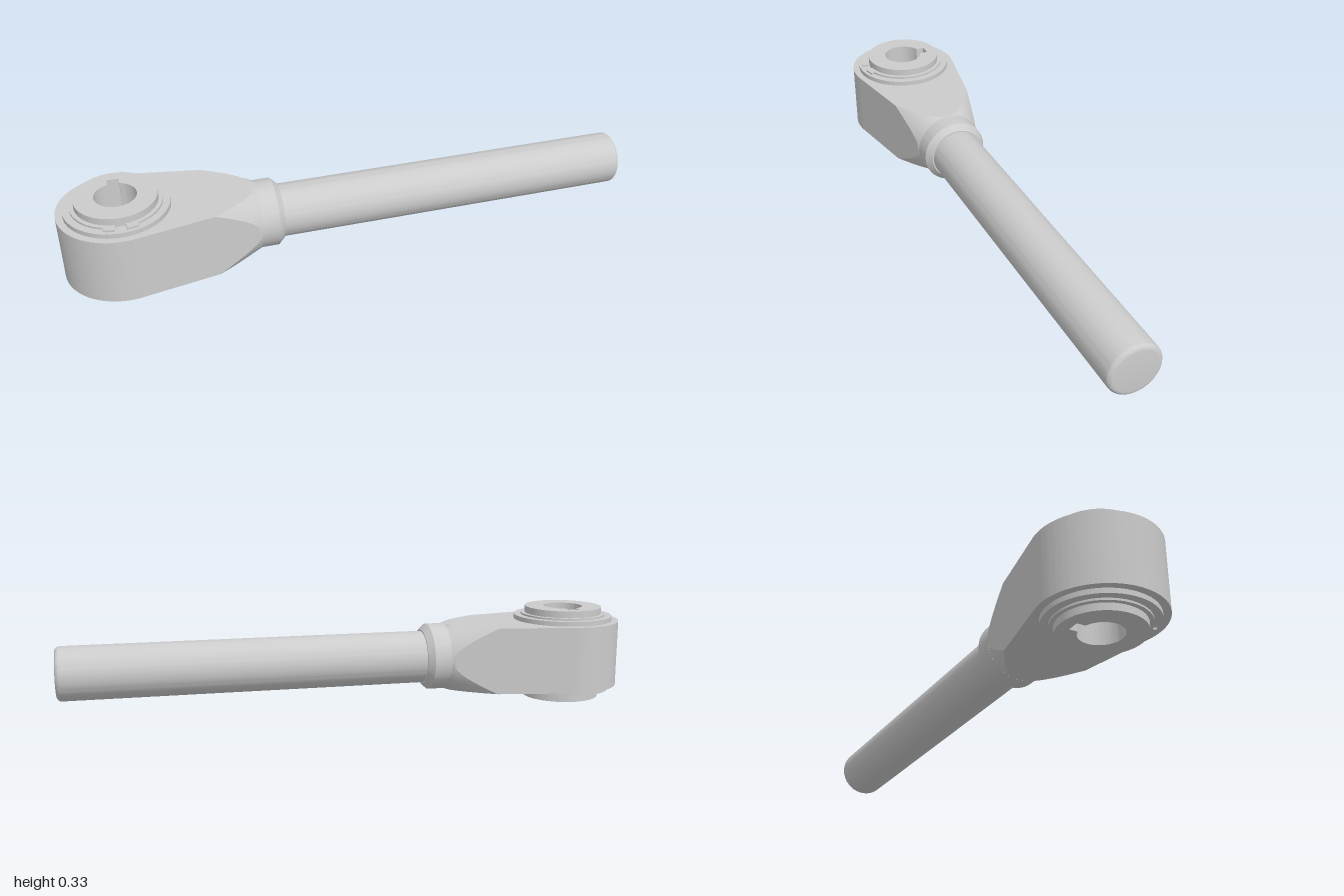
import * as THREE from 'three';
import { toCreasedNormals } from 'three/addons/utils/BufferGeometryUtils.js';

const MID = 0.165;        // height of the rod axis
const EYE_X = -0.8;       // centre of the eye
const EYE_R = 0.2;
const HALF_H = 0.1175;    // half thickness of the eye
const CUT_X = -0.5;       // where the cone starts trimming the neck
const NECK_X = -0.34;
const NECK_R = 0.117;
const BETA = 0.185;       // taper angle of the neck sides

const material = new THREE.MeshStandardMaterial({ color: 0xcccccc });
const halfWidth = (x) => (EYE_R - (x - EYE_X) * Math.sin(BETA)) / Math.cos(BETA);

function addMesh(parent, name, geometry, crease = 0.3) {
  const mesh = new THREE.Mesh(toCreasedNormals(geometry, crease), material);
  mesh.name = name;
  parent.add(mesh);
  return mesh;
}

// Extrudes a plan shape (drawn as x, -z) upwards from y0 to y1
function extrudeUp(shape, y0, y1) {
  const g = new THREE.ExtrudeGeometry(shape, { depth: y1 - y0, bevelEnabled: false, curveSegments: 48 });
  return g.rotateX(-Math.PI / 2).translate(0, y0, 0);
}

function circlePath(r) {
  return new THREE.Path().absarc(0, 0, r, 0, Math.PI * 2, true);
}

// Turns a profile of [x, radius] points around the rod axis
function turned(points) {
  const g = new THREE.LatheGeometry(points.map(([x, r]) => new THREE.Vector2(r, x)), 64);
  return g.rotateZ(-Math.PI / 2).translate(0, MID, 0);
}

// Neck: tapering rectangle trimmed by a cone, lofted in cross-sections
function neckGeometry() {
  const steps = 16, arc = 10;
  const r0 = Math.hypot(halfWidth(CUT_X), HALF_H);
  const positions = [], index = [];
  let count = 0;
  for (let i = 0; i <= steps; i++) {
    const t = i / steps;
    const x = THREE.MathUtils.lerp(CUT_X, NECK_X, t);
    const r = THREE.MathUtils.lerp(r0, NECK_R, t);
    const a = Math.acos(Math.min(1, halfWidth(x) / r));
    const b = Math.max(a, Math.asin(Math.min(1, HALF_H / r)));
    const loop = [];
    for (let q = 0; q < 4; q++) {
      for (let k = 0; k <= arc; k++) {
        const s = THREE.MathUtils.lerp(a, b, k / arc);
        // odd quadrants run backwards so the loop keeps turning one way
        const angle = q % 2 ? (q + 1) * Math.PI / 2 - THREE.MathUtils.lerp(b, a, k / arc) : q * Math.PI / 2 + s;
        loop.push([r * Math.cos(angle), r * Math.sin(angle)]);
      }
    }
    count = loop.length;
    loop.forEach(([z, y]) => positions.push(x, MID + y, z));
  }
  for (let i = 0; i < steps; i++) {
    for (let j = 0; j < count; j++) {
      const n = (j + 1) % count;
      const a = i * count + j, b = a + count, c = i * count + n, d = c + count;
      index.push(a, b, c, b, d, c);
    }
  }
  const g = new THREE.BufferGeometry();
  g.setAttribute('position', new THREE.Float32BufferAttribute(positions, 3));
  g.setIndex(index);
  return g;
}

export function createModel() {
  const model = new THREE.Group();
  model.name = 'rodEnd';

  // Eye housing with tangent sides
  const tx = EYE_R * Math.sin(BETA), cutX = CUT_X - EYE_X, w = halfWidth(CUT_X);
  const eye = new THREE.Shape();
  eye.moveTo(cutX, -w);
  eye.lineTo(cutX, w);
  eye.lineTo(tx, EYE_R * Math.cos(BETA));
  eye.absarc(0, 0, EYE_R, Math.PI / 2 - BETA, Math.PI * 1.5 + BETA, false);
  eye.closePath();
  eye.holes.push(circlePath(0.13));
  addMesh(model, 'eyeHousing', extrudeUp(eye, MID - HALF_H, MID + HALF_H).translate(EYE_X, 0, 0));

  addMesh(model, 'neck', neckGeometry());

  // Collar with chamfer, and the shank with a rounded end
  addMesh(model, 'collar', turned([[NECK_X, NECK_R], [-0.28, NECK_R], [-0.259, 0.097], [-0.259, 0.08]]));
  const shank = [[-0.27, 0.092]];
  for (let i = 0; i <= 6; i++) {
    const a = i / 6 * Math.PI / 2;
    shank.push([0.983 + 0.017 * Math.sin(a), 0.075 + 0.017 * Math.cos(a)]);
  }
  shank.push([1, 0]);
  addMesh(model, 'shank', turned(shank), 0.4);

  // Bearing inner ring with a keyed bore
  const bearing = new THREE.Group();
  bearing.name = 'bearing';
  bearing.position.x = EYE_X;
  model.add(bearing);
  const inner = new THREE.Shape().absarc(0, 0, 0.137, 0, Math.PI * 2, false);
  const bore = 0.07, key = 0.02, keyAngle = Math.acos(key / bore);
  const hole = new THREE.Path();
  hole.moveTo(key, 0.096);
  hole.lineTo(-key, 0.096);
  hole.absarc(0, 0, bore, Math.PI - keyAngle, Math.PI * 2 + keyAngle, false);
  hole.closePath();
  inner.holes.push(hole);
  addMesh(bearing, 'innerRing', extrudeUp(inner, 0, MID * 2));

  // Cover washer and snap ring on both faces
  const washer = new THREE.Shape().absarc(0, 0, 0.176, 0, Math.PI * 2, false);
  washer.holes.push(circlePath(0.13));
  const gap = 0.12, front = -Math.PI / 2;
  const clip = new THREE.Shape();
  clip.absarc(0, 0, 0.151, front + gap, front + Math.PI * 2 - gap, false);
  clip.absarc(0, 0, 0.135, front + Math.PI * 2 - gap, front + gap, true);
  clip.closePath();
  const lug = (side) => {
    const s = new THREE.Shape();
    const a0 = front + side * gap, a1 = front + side * (gap + 0.24);
    s.absarc(0, 0, 0.164, a0, a1, side < 0);
    s.absarc(0, 0, 0.14, a1, a0, side > 0);
    s.closePath();
    return s;
  };
  const top = MID + HALF_H;
  for (const [name, shape, y0, y1] of [
    ['coverWasher', washer, top, 0.299],
    ['snapRing', clip, 0.299, 0.306],
    ['snapRingLug', lug(1), 0.299, 0.306],
    ['snapRingLug', lug(-1), 0.299, 0.306],
  ]) {
    addMesh(bearing, name + 'Top', extrudeUp(shape, y0, y1));
    addMesh(bearing, name + 'Bottom', extrudeUp(shape, MID * 2 - y1, MID * 2 - y0));
  }
  return model;
}
